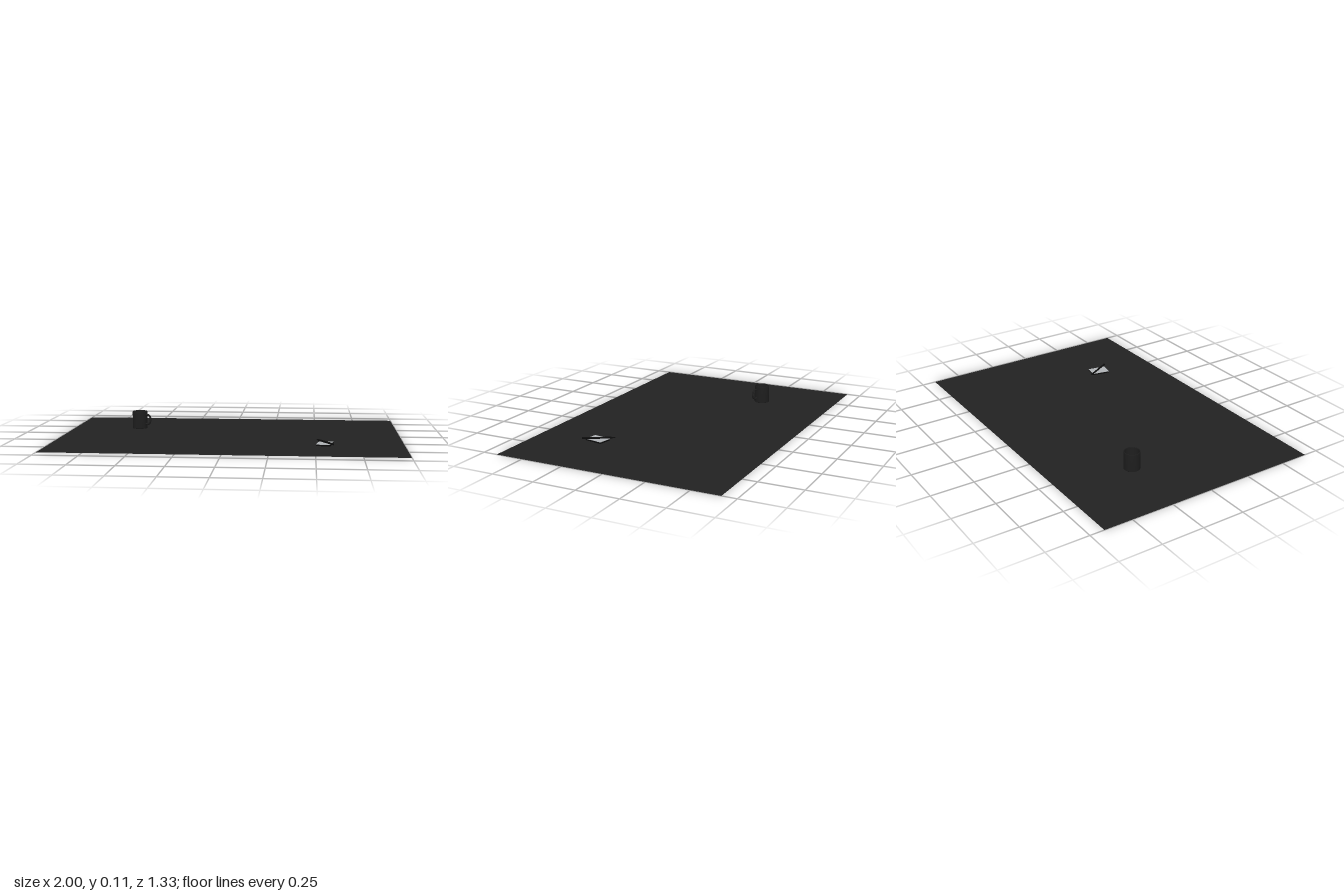
import * as THREE from 'three';

const mat = (name, color, side = THREE.FrontSide) => {
  const m = new THREE.MeshStandardMaterial({ color, side });
  m.name = name;
  return m;
};

export function createModel() {
  const tableMat = mat('charcoal table', 0x222222, THREE.DoubleSide);
  const mugMat = mat('dark ceramic', 0x1e1e1e);
  const paperMat = mat('pale paper', 0xb0b3b6);
  const blackMat = mat('black', 0x0c0c0c);

  const model = new THREE.Group();
  const add = (parent, name, geometry, material, x = 0, y = 0, z = 0) => {
    const mesh = new THREE.Mesh(geometry, material);
    mesh.name = name;
    mesh.position.set(x, y, z);
    parent.add(mesh);
    return mesh;
  };

  // Table surface
  add(model, 'tableTop', new THREE.PlaneGeometry(2, 1.333).rotateX(-Math.PI / 2), tableMat);

  // Mug: hollow turned body with a rounded lip and a loop handle
  const mug = new THREE.Group();
  mug.name = 'mug';
  mug.position.set(-0.592, 0.001, -0.222);
  mug.rotation.y = -0.44;
  model.add(mug);
  const profile = [
    [0, 0], [0.043, 0], [0.046, 0.003], [0.046, 0.104], [0.0445, 0.107],
    [0.042, 0.107], [0.041, 0.104], [0.041, 0.009], [0.038, 0.006], [0, 0.006],
  ].map(([r, y]) => new THREE.Vector2(r, y));
  add(mug, 'mugBody', new THREE.LatheGeometry(profile, 40), mugMat);

  const handlePath = new THREE.CatmullRomCurve3([
    [0.043, 0.084], [0.062, 0.086], [0.075, 0.076], [0.079, 0.057],
    [0.073, 0.037], [0.06, 0.028], [0.043, 0.03],
  ].map(([x, y]) => new THREE.Vector3(x, y, 0)));
  add(mug, 'mugHandle', new THREE.TubeGeometry(handlePath, 32, 0.006, 10), mugMat);

  // Notepad: dark block with a pale top sheet
  const pad = new THREE.Group();
  pad.name = 'notepad';
  pad.position.set(0.553, 0, 0.304);
  pad.rotation.y = -0.19;
  model.add(pad);
  add(pad, 'padBlock', new THREE.BoxGeometry(0.08, 0.008, 0.112), blackMat, 0, 0.005, 0);
  add(pad, 'padSheet', new THREE.BoxGeometry(0.079, 0.002, 0.111), paperMat, 0, 0.01, 0);

  // Pen lying diagonally across the pad, its tip pointing to the back
  const tip = new THREE.Vector3(0.506, 0.0165, 0.214);
  const end = new THREE.Vector3(0.6, 0.0165, 0.379);
  const length = tip.distanceTo(end);
  const penProfile = [
    [0, 0], [0.0045, 0], [0.0055, 0.002], [0.0055, length - 0.028],
    [0.0015, length - 0.004], [0, length],
  ].map(([r, y]) => new THREE.Vector2(r, y));
  const pen = add(model, 'pen', new THREE.LatheGeometry(penProfile, 16), blackMat, end.x, end.y, end.z);
  pen.quaternion.setFromUnitVectors(new THREE.Vector3(0, 1, 0), tip.clone().sub(end).normalize());

  return model;
}
